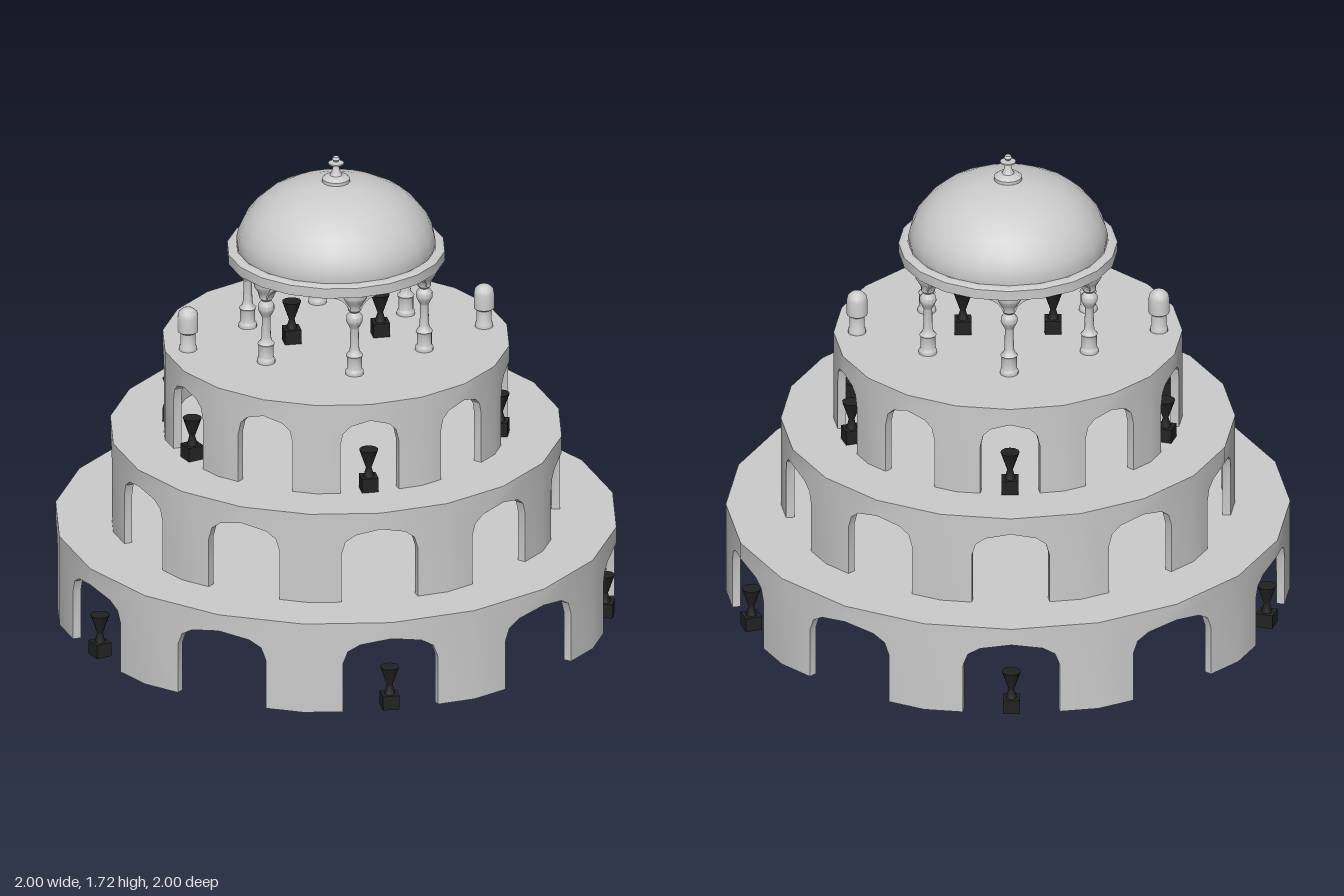
import * as THREE from 'three';
import { mergeGeometries, toCreasedNormals } from 'three/addons/utils/BufferGeometryUtils.js';

const grey = new THREE.MeshStandardMaterial({ color: 0xcccccc, side: THREE.DoubleSide });
const dark = new THREE.MeshStandardMaterial({ color: 0x222222 });
const SIDES = 20, STEP = (Math.PI * 2) / SIDES, TIER = 0.34, WALL = 0.03;
const v2 = (p) => p.map(([x, y]) => new THREE.Vector2(x, y));

function add(parent, name, geometry, material = grey) {
  const mesh = new THREE.Mesh(geometry, material);
  mesh.name = name;
  parent.add(mesh);
  return mesh;
}

const lathe = (points, segments = 20) =>
  toCreasedNormals(new THREE.LatheGeometry(v2(points), segments), 0.7);

// Place an object around the vertical axis, facing outward
function around(object, angle, radius, y) {
  object.position.set(Math.sin(angle) * radius, y, Math.cos(angle) * radius);
  object.rotation.y = angle;
}

// One facet of the arcade: half an arch and half a pier, fitted between two polygon corners
function arcadeFacet(index, radius) {
  const half = [[0, 0.278], [0.36, 0.256], [0.5, 0.23], [0.555, 0.185], [0.555, 0], [1, 0], [1, TIER], [0, TIER]];
  const flip = index % 2 === 1;
  const shape = new THREE.Shape(v2(half.map(([u, y]) => [flip ? 1 - u : u, y])));
  const geometry = new THREE.ExtrudeGeometry(shape, { depth: WALL, bevelEnabled: false });
  const p = geometry.attributes.position;
  const a = index * STEP, b = a + STEP;
  for (let i = 0; i < p.count; i++) {
    const u = p.getX(i), r = radius - WALL + p.getZ(i);
    p.setXYZ(i, r * THREE.MathUtils.lerp(Math.sin(a), Math.sin(b), u), p.getY(i),
      r * THREE.MathUtils.lerp(Math.cos(a), Math.cos(b), u));
  }
  return geometry;
}

function createTier(radius, y) {
  const tier = new THREE.Group();
  tier.name = 'tier';
  const facets = Array.from({ length: SIDES }, (_, i) => arcadeFacet(i, radius));
  add(tier, 'arcadeWall', toCreasedNormals(mergeGeometries(facets), 0.5));
  const roof = add(tier, 'roofSlab', new THREE.CylinderGeometry(radius - WALL, radius - WALL, 0.03, SIDES));
  roof.position.y = TIER - 0.015;
  tier.position.y = y;
  return tier;
}

// Dark uplight: square base with an hourglass shade
function createLamp() {
  const lamp = new THREE.Group();
  lamp.name = 'lamp';
  add(lamp, 'lampBase', new THREE.BoxGeometry(0.06, 0.052, 0.06)).position.y = 0.026;
  add(lamp, 'lampShade', lathe([[0, 0.05], [0.02, 0.05], [0.01, 0.085], [0.034, 0.155], [0, 0.155]], 12));
  lamp.children.forEach((m) => { m.material = dark; });
  return lamp;
}

// Turned column with a bracket spreading along the canopy rim
function createColumn() {
  const column = new THREE.Group();
  column.name = 'column';
  add(column, 'columnShaft', lathe([
    [0, 0], [0.033, 0], [0.033, 0.012], [0.027, 0.02], [0.027, 0.065], [0.031, 0.072], [0.02, 0.085],
    [0.017, 0.1], [0.015, 0.175], [0.022, 0.188], [0.03, 0.205], [0.029, 0.222], [0.017, 0.238],
    [0.024, 0.246], [0.024, 0.26], [0.032, 0.275], [0.044, 0.295], [0.044, 0.315], [0, 0.315],
  ], 12));
  const shape = new THREE.Shape();
  shape.moveTo(-0.022, 0.25);
  shape.lineTo(0.022, 0.25);
  shape.quadraticCurveTo(0.035, 0.295, 0.095, 0.305);
  shape.lineTo(0.095, 0.318);
  shape.lineTo(-0.095, 0.318);
  shape.lineTo(-0.095, 0.305);
  shape.quadraticCurveTo(-0.035, 0.295, -0.022, 0.25);
  const bracket = new THREE.ExtrudeGeometry(shape, { depth: 0.03, bevelEnabled: false, curveSegments: 5 });
  add(column, 'bracket', bracket.translate(0, 0, -0.015));
  return column;
}

function createCanopy() {
  const canopy = new THREE.Group();
  canopy.name = 'canopy';
  add(canopy, 'rim', lathe([
    [0, 1.335], [0.37, 1.33], [0.388, 1.335], [0.388, 1.372], [0.375, 1.378], [0.355, 1.378],
  ]));
  add(canopy, 'dome', lathe([
    [0.352, 1.376], [0.354, 1.4], [0.346, 1.435], [0.328, 1.475], [0.295, 1.518], [0.25, 1.558],
    [0.19, 1.59], [0.12, 1.612], [0.05, 1.623], [0, 1.625],
  ], 24));
  add(canopy, 'finial', lathe([
    [0.05, 1.615], [0.05, 1.635], [0.04, 1.643], [0.022, 1.648], [0.016, 1.66], [0.009, 1.685],
    [0.028, 1.69], [0.028, 1.695], [0.008, 1.699], [0.014, 1.708], [0.01, 1.717], [0, 1.72],
  ], 16));
  return canopy;
}

export function createModel() {
  const model = new THREE.Group();
  model.name = 'tieredPavilion';
  [1, 0.805, 0.618].forEach((radius, i) => model.add(createTier(radius, i * TIER)));

  // Lamps standing in six of the ten arches of the lowest and highest tiers
  for (const [radius, y] of [[0.96, 0], [0.585, 2 * TIER]]) {
    for (const arch of [0, 2, 3, 5, 7, 8]) {
      const lamp = createLamp();
      around(lamp, arch * STEP * 2, radius, y);
      model.add(lamp);
    }
  }

  // Six columns carrying the domed canopy
  for (let i = 0; i < 6; i++) {
    const column = createColumn();
    around(column, (i * Math.PI) / 3, 0.33, 3 * TIER);
    model.add(column);
  }
  model.add(createCanopy());

  // Lamps under the dome and round-topped posts on either side
  for (const side of [-1, 1]) {
    const lamp = createLamp();
    lamp.position.set(side * 0.16, 3 * TIER, 0);
    model.add(lamp);
    const post = add(model, 'post', lathe([
      [0, 0], [0.032, 0], [0.032, 0.012], [0.027, 0.02], [0.027, 0.065], [0.037, 0.072],
      [0.037, 0.128], [0.033, 0.145], [0.02, 0.157], [0, 0.162],
    ], 16));
    post.position.set(side * 0.535, 3 * TIER, 0);
  }
  return model;
}
